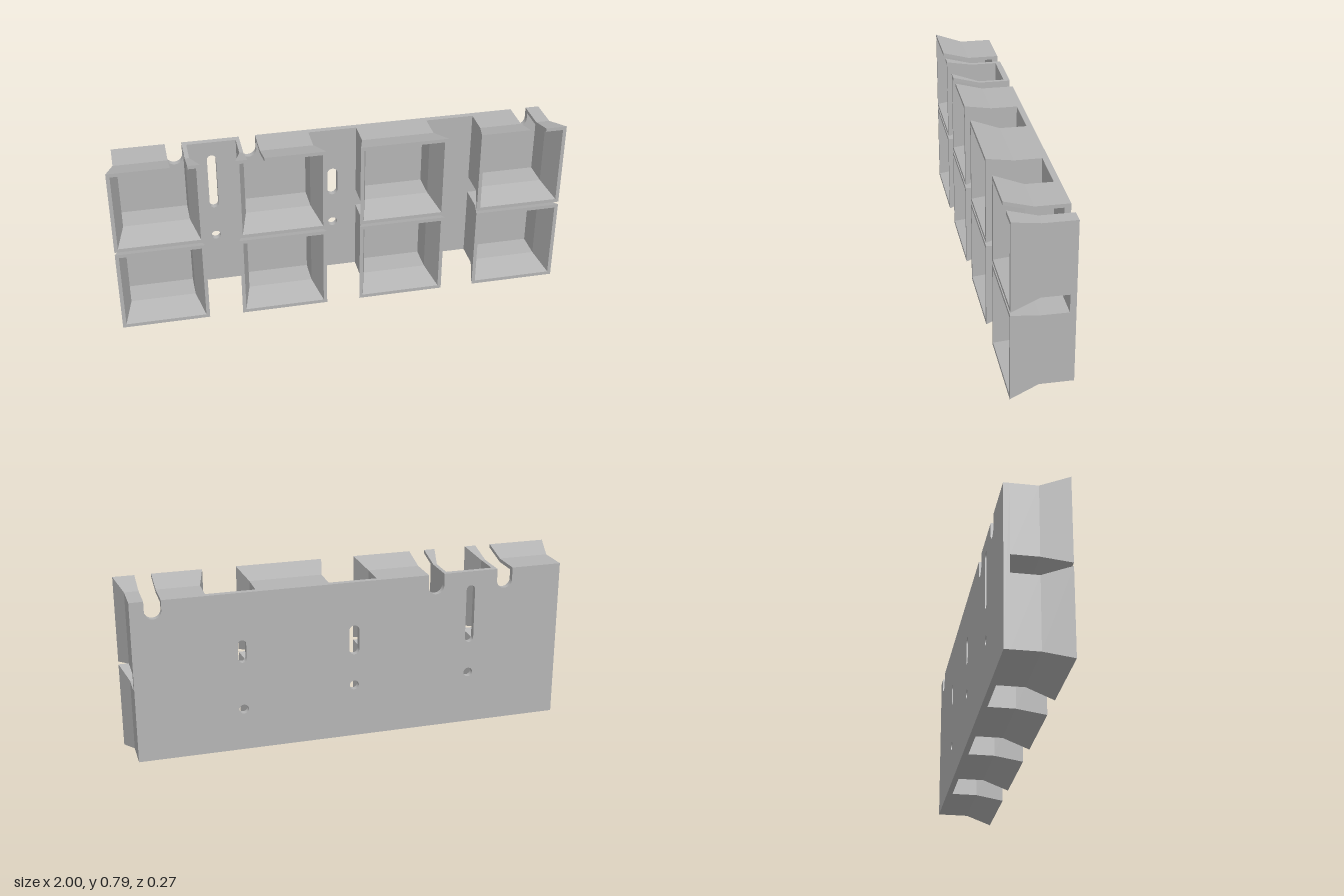
import * as THREE from 'three';

const HALF = 0.161, FLARE = 0.033, WALL = 0.016;      // bin half size, lip flare, wall thickness
const BACK = -0.133, FLOOR = -0.107, BEND = 0.01, FRONT = 0.133;
const COLUMNS = [-0.806, -0.269, 0.269, 0.806];
const ROWS = [0.195, 0.597];
const BOTTOM = ROWS[0] - HALF, TOP = ROWS[1] + HALF;
const NOTCH_R = 0.036;
const NOTCHES = [                                      // x, lowest y, column
  { x: -0.7, y: 0.667, column: 0 },
  { x: -0.377, y: 0.667, column: 1 },
  { x: 0.87, y: 0.677, column: 3 },
];
const SLOTS = [                                        // x, y from, y to, radius
  [-0.54, 0.425, 0.693, 0.02], [0, 0.425, 0.56, 0.023], [0.5, 0.442, 0.545, 0.018],
  [-0.54, 0.257, 0.299, 0.021], [0, 0.258, 0.3, 0.021], [0.5, 0.204, 0.246, 0.021],
];

// Wall cross-section as [outward offset, z], outside then inside
const PROFILE = [
  [0, FLOOR], [0, BEND], [FLARE, FRONT],
  [FLARE - WALL, FRONT], [-WALL, BEND], [-WALL, FLOOR],
];

// One wall of a bin, mitred at its corners; from / to cut it off square
function wallGeometry(turn, from = null, to = null) {
  const c = Math.round(Math.cos(turn * Math.PI / 2));
  const s = Math.round(Math.sin(turn * Math.PI / 2));
  const place = (u, v, z) => [u * c - v * s, u * s + v * c, z];
  const a = PROFILE.map(([o, z]) => place(from ?? -(HALF + o), HALF + o, z));
  const b = PROFILE.map(([o, z]) => place(to ?? HALF + o, HALF + o, z));
  const pos = [];
  const quad = (p, q, r, t) => pos.push(...p, ...q, ...r, ...p, ...r, ...t);
  for (let i = 0; i < 6; i++) {
    const j = (i + 1) % 6;
    quad(a[i], a[j], b[j], b[i]);
  }
  for (const [i, j, k, l] of [[0, 1, 4, 5], [1, 2, 3, 4]]) {
    if (to !== null) quad(b[i], b[j], b[k], b[l]);
    if (from !== null) quad(a[l], a[k], a[j], a[i]);
  }
  const g = new THREE.BufferGeometry();
  g.setAttribute('position', new THREE.Float32BufferAttribute(pos, 3));
  g.computeVertexNormals();
  return g;
}

// Back plate with open notches along the top, slots and round holes
function plateGeometry() {
  const edge = COLUMNS[3] + HALF;
  const shape = new THREE.Shape();
  shape.moveTo(-edge, TOP);
  shape.lineTo(-edge, BOTTOM);
  shape.lineTo(edge, BOTTOM);
  shape.lineTo(edge, TOP);
  for (const n of [...NOTCHES].reverse()) {
    shape.lineTo(n.x + NOTCH_R, TOP);
    shape.lineTo(n.x + NOTCH_R, n.y + NOTCH_R);
    shape.absarc(n.x, n.y + NOTCH_R, NOTCH_R, 0, -Math.PI, true);
    shape.lineTo(n.x - NOTCH_R, TOP);
  }
  shape.closePath();
  for (const [x, y0, y1, r] of SLOTS) {
    const hole = new THREE.Path();
    hole.absarc(x, y1 - r, r, 0, Math.PI, false);
    hole.absarc(x, y0 + r, r, Math.PI, Math.PI * 2, false);
    hole.closePath();
    shape.holes.push(hole);
  }
  const g = new THREE.ExtrudeGeometry(shape, { depth: FLOOR - BACK, bevelEnabled: false, curveSegments: 16 });
  g.translate(0, 0, BACK);
  return g;
}

export function createModel() {
  const model = new THREE.Group();
  model.name = 'wallOrganizer';
  const grey = new THREE.MeshStandardMaterial({ color: 0xb4b4b4 });
  grey.name = 'grey plastic';
  const add = (parent, geometry, name) => {
    const mesh = new THREE.Mesh(geometry, grey);
    mesh.name = name;
    parent.add(mesh);
  };

  add(model, plateGeometry(), 'backPlate');

  // Two rows of four flared bins
  ROWS.forEach((y, row) => COLUMNS.forEach((x, column) => {
    const bin = new THREE.Group();
    bin.name = row ? 'upperBin' : 'lowerBin';
    bin.position.set(x, y, 0);
    ['topWall', 'rightWall', 'bottomWall', 'leftWall'].forEach((name, turn) => {
      const notch = row === 1 && turn === 0 && NOTCHES.find((n) => n.column === column);
      if (notch) {
        // The notch splits the top wall in two
        add(bin, wallGeometry(0, null, notch.x - NOTCH_R - x), 'topWallRightPart');
        add(bin, wallGeometry(0, notch.x + NOTCH_R - x, null), 'topWallLeftPart');
      } else {
        add(bin, wallGeometry(turn), name);
      }
    });
    model.add(bin);
  }));
  return model;
}
